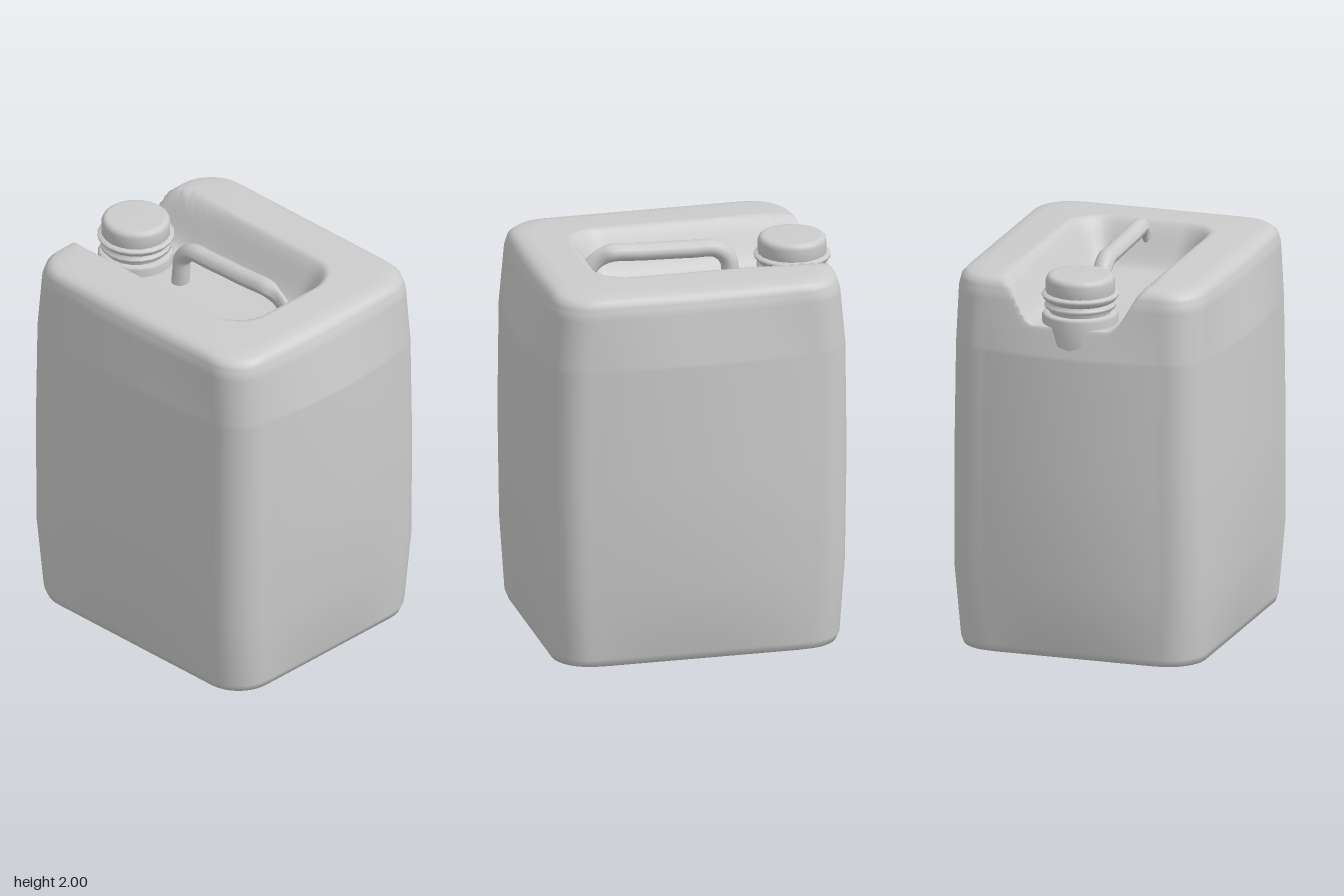
import * as THREE from 'three';

const material = new THREE.MeshStandardMaterial({ color: 0xcccccc, side: THREE.DoubleSide });
const { lerp, smoothstep } = THREE.MathUtils;

function add(group, name, geometry) {
  const mesh = new THREE.Mesh(geometry, material);
  mesh.name = name;
  group.add(mesh);
  return mesh;
}

// Rounded rectangle in x/z with half sizes w and d, corner radius r and sides bulged by b
function outline(w, d, r, b, sideSteps = 36, cornerSteps = 8) {
  const points = [];
  const hw = w - b, hd = d - b;
  for (let k = 0; k < 4; k++) {
    const a = k * Math.PI / 2, c = Math.cos(a), s = Math.sin(a);
    const [out, along] = k % 2 ? [hd, hw] : [hw, hd];
    for (let i = 0; i < sideSteps; i++) {
      const t = -1 + 2 * i / sideSteps;
      const o = out + b * (1 - t * t), l = t * (along - r);
      points.push([c * o - s * l, s * o + c * l]);
    }
    for (let i = 0; i < cornerSteps; i++) {
      const q = i / cornerSteps * Math.PI / 2;
      const o = out - r + r * Math.cos(q), l = along - r + r * Math.sin(q);
      points.push([c * o - s * l, s * o + c * l]);
    }
  }
  return points;
}

// Height of the recess in the top: a rounded channel that runs out through the -x side
function recessHeight(x, z) {
  const r = 0.22;
  const qx = x - (0.49 - r), qz = Math.abs(z) - (0.39 - r);
  const outside = Math.hypot(Math.max(qx, 0), Math.max(qz, 0)) + Math.min(Math.max(qx, qz), 0) - r;
  if (outside >= 0) return Infinity;
  return 1.965 - 0.235 * smoothstep(-outside, 0, 0.19);
}

function bodyGeometry() {
  // y, half width, half depth, side bulge, steps to the next row
  const profile = [
    [0, 0.69, 0.6, 0, 1],
    [0.012, 0.725, 0.628, 0, 1],
    [0.05, 0.745, 0.642, 0.005, 1],
    [0.43, 0.81, 0.716, 0.05, 1],
    [1, 0.82, 0.712, 0.05, 1],
    [1.57, 0.81, 0.7, 0.045, 14],
    [1.86, 0.752, 0.66, 0.012, 3],
    [1.915, 0.73, 0.642, 0.005, 2],
    [1.94, 0.7, 0.615, 0, 2],
    [1.95, 0.65, 0.565, 0, 1],
  ];
  const rings = [];
  const ring = (y, w, d, b, scale = 1) =>
    rings.push(outline(w, d, 0.19, b).map(([x, z]) => [x * scale, y, z * scale]));

  ring(0, 0.69, 0.6, 0, 0);
  profile.forEach((row, i) => {
    const next = profile[i + 1] || row;
    for (let k = 0; k < row[4]; k++) {
      ring(...[0, 1, 2, 3].map((j) => lerp(row[j], next[j], k / row[4])));
    }
  });
  // Slightly crowned top, closing on the centre
  for (let i = 1; i <= 40; i++) {
    const s = 1 - i / 40;
    ring(1.95 + 0.013 * (1 - s * s), 0.65, 0.565, 0, s);
  }

  const n = rings[0].length, positions = [], index = [];
  for (const points of rings) {
    for (const [x, y, z] of points) positions.push(x, Math.min(y, recessHeight(x, z)), z);
  }
  for (let j = 0; j < rings.length - 1; j++) {
    for (let i = 0; i < n; i++) {
      const a = j * n + i, b = j * n + (i + 1) % n;
      index.push(a, a + n, b, b, a + n, b + n);
    }
  }
  const geometry = new THREE.BufferGeometry();
  geometry.setAttribute('position', new THREE.Float32BufferAttribute(positions, 3));
  geometry.setIndex(index);
  geometry.computeVertexNormals();
  return geometry;
}

// Carrying bar across the recess, thinner where it meets the end wall
function handleGeometry() {
  const path = new THREE.CatmullRomCurve3([
    [-0.31, 1.66], [-0.3, 1.78], [-0.285, 1.88], [-0.22, 1.935], [-0.1, 1.942],
    [0.15, 1.95], [0.32, 1.955], [0.38, 1.93], [0.44, 1.87], [0.5, 1.8],
  ].map(([x, y]) => new THREE.Vector3(x, y, 0)), false, 'centripetal');
  const geometry = new THREE.TubeGeometry(path, 64, 0.045, 12);
  const p = geometry.attributes.position;
  for (let i = 0; i < p.count; i++) {
    p.setZ(i, p.getZ(i) * lerp(1.05, 0.5, smoothstep(p.getX(i), 0.31, 0.39)));
  }
  geometry.computeVertexNormals();
  return geometry;
}

const lathe = (points) =>
  new THREE.LatheGeometry(points.map(([r, y]) => new THREE.Vector2(r, y)), 20);

export function createModel() {
  const model = new THREE.Group();
  model.name = 'jerrycan';
  add(model, 'body', bodyGeometry());
  add(model, 'handle', handleGeometry());

  // Filler opening at the open end of the recess
  const filler = new THREE.Group();
  filler.name = 'filler';
  filler.position.x = -0.615;
  model.add(filler);
  add(filler, 'neckBase', lathe([[0.17, 1.58], [0.19, 1.64], [0.19, 1.77], [0.18, 1.782], [0.15, 1.784]]));
  add(filler, 'neck', lathe([[0.155, 1.74], [0.155, 1.8], [0.178, 1.81], [0.178, 1.825], [0.155, 1.835], [0.155, 1.9]]));
  add(filler, 'collar', lathe([[0.155, 1.835], [0.175, 1.845], [0.192, 1.865], [0.192, 1.878], [0.165, 1.882]]));
  add(filler, 'cap', lathe([[0.16, 1.88], [0.172, 1.885], [0.172, 1.945], [0.167, 1.962], [0.155, 1.972], [0.14, 1.975], [0, 1.975]]));
  return model;
}
